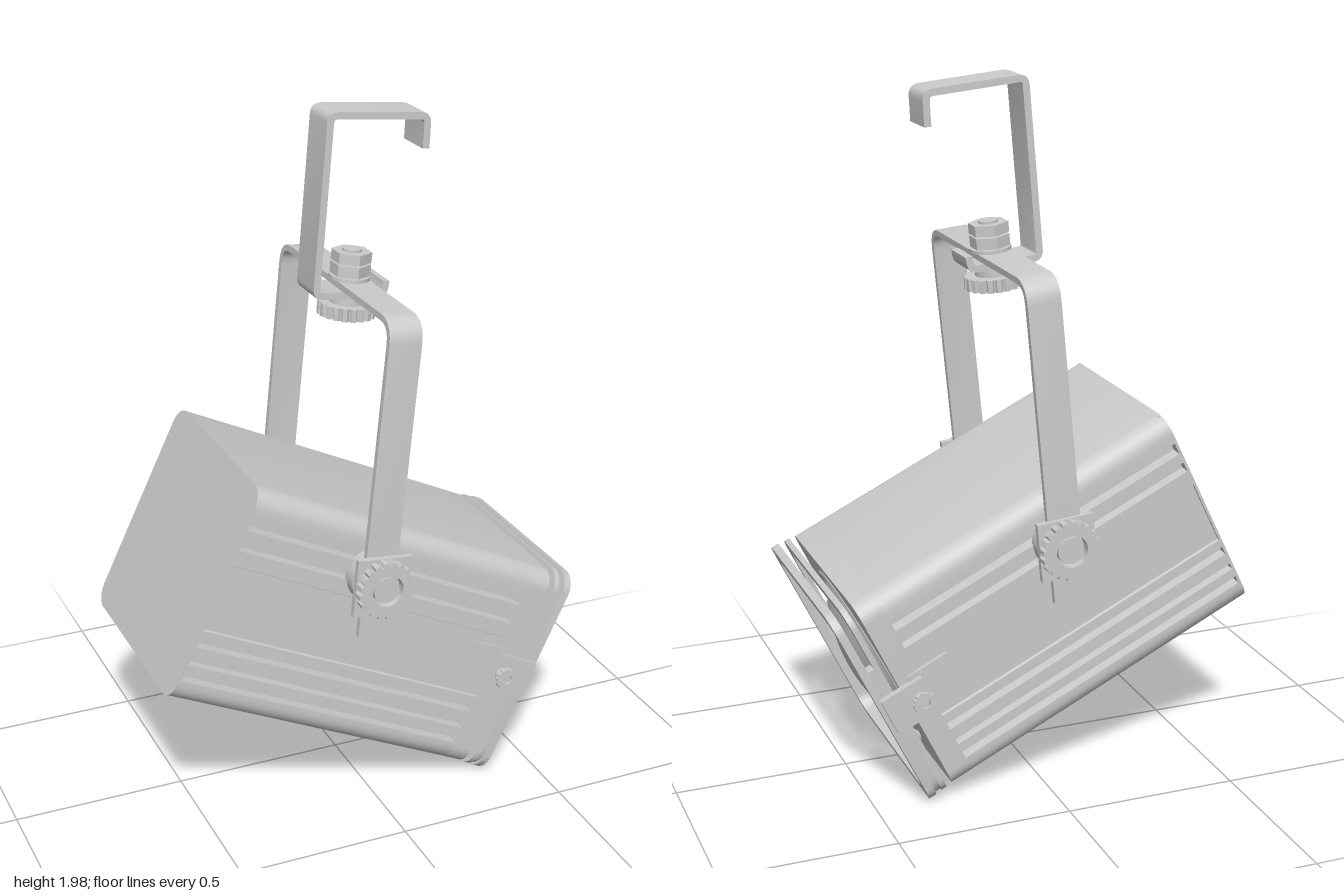
import * as THREE from 'three';
import { toCreasedNormals } from 'three/addons/utils/BufferGeometryUtils.js';

const grey = new THREE.MeshStandardMaterial({ color: 0xcccccc });

function add(parent, name, geo, x = 0, y = 0, z = 0) {
  const mesh = new THREE.Mesh(geo, grey);
  mesh.name = name;
  mesh.position.set(x, y, z);
  parent.add(mesh);
  return mesh;
}

const extrude = (shape, depth) => toCreasedNormals(
  new THREE.ExtrudeGeometry(shape, { depth, bevelEnabled: false, curveSegments: 24 }), 0.6);

// Extrusion that runs along +x, with the shape's x becoming -z
const extrudeX = (shape, depth) => extrude(shape, depth).rotateY(Math.PI / 2);

// Rounded rectangle from half sizes
function roundRect(w, h, r, Type = THREE.Shape) {
  const s = new Type();
  s.absarc(w - r, h - r, r, 0, Math.PI / 2);
  s.absarc(r - w, h - r, r, Math.PI / 2, Math.PI);
  s.absarc(r - w, r - h, r, Math.PI, Math.PI * 1.5);
  s.absarc(w - r, r - h, r, Math.PI * 1.5, Math.PI * 2);
  s.closePath();
  return s;
}

// Outline of a bent flat bar: polyline with rounded bends, offset to both sides
function bentBar(points, thick, bend) {
  const p = points.map(([x, y]) => new THREE.Vector2(x, y));
  const line = [], dirs = [];
  p.forEach((c, i) => {
    const a = p[i - 1], b = p[i + 1];
    const din = a && c.clone().sub(a).normalize();
    const dout = b && b.clone().sub(c).normalize();
    if (!a || !b) { line.push(c); dirs.push(din || dout); return; }
    const curve = new THREE.QuadraticBezierCurve(
      c.clone().addScaledVector(din, -bend), c, c.clone().addScaledVector(dout, bend));
    for (let k = 0; k <= 5; k++) {
      line.push(curve.getPoint(k / 5));
      dirs.push(curve.getTangent(k / 5));
    }
  });
  const side = (s) => line.map((q, i) =>
    new THREE.Vector2(q.x - dirs[i].y * s, q.y + dirs[i].x * s));
  return new THREE.Shape([...side(thick / 2), ...side(-thick / 2).reverse()]);
}

// Toothed grip wheel along +z with a round recess in the middle
function knob(radius, depth, hole, teeth = 18) {
  const pts = [];
  for (let i = 0; i < teeth; i++) {
    [[0.05, 0.9], [0.25, 1], [0.75, 1], [0.95, 0.9]].forEach(([f, k]) => {
      const a = ((i + f) / teeth) * Math.PI * 2;
      pts.push(new THREE.Vector2(Math.cos(a), Math.sin(a)).multiplyScalar(radius * k));
    });
  }
  const s = new THREE.Shape(pts);
  s.holes.push(new THREE.Path().absarc(0, 0, hole, 0, Math.PI * 2));
  return extrude(s, depth);
}

const cylZ = (r, depth, n = 32) => new THREE.CylinderGeometry(r, r, depth, n).rotateX(Math.PI / 2);

// Housing section with grooves and a shallow panel on both flanks
function groovedSection() {
  const W = 0.325, H = 0.322, r = 0.055;
  const cuts = [[-0.255, -0.232, 0.03], [-0.205, -0.185, 0.025], [-0.15, -0.125, 0.03],
    [-0.1, 0.1, 0.008], [0.145, 0.175, 0.03], [0.205, 0.24, 0.035]];
  const right = [];
  const corner = (cy, a0) => {
    for (let k = 0; k <= 6; k++) {
      const a = a0 + (k / 6) * Math.PI / 2;
      right.push([W - r + r * Math.cos(a), cy + r * Math.sin(a)]);
    }
  };
  corner(r - H, -Math.PI / 2);
  cuts.forEach(([a, b, d]) => right.push([W, a], [W - d, a + 0.003], [W - d, b - 0.003], [W, b]));
  corner(H - r, 0);
  const left = right.map(([x, y]) => [-x, y]).reverse();
  return new THREE.Shape([...right, ...left].map(([x, y]) => new THREE.Vector2(x, y)));
}

// Lamp housing: local x runs from the back plate to the lens
function buildHousing() {
  const g = new THREE.Group();
  g.name = 'housing';
  add(g, 'backPlate', extrudeX(roundRect(0.325, 0.322, 0.055), 0.008));
  add(g, 'groovedBody', extrudeX(groovedSection(), 0.932), 0.008);

  const collar = roundRect(0.325, 0.322, 0.055);
  collar.holes.push(new THREE.Path().absarc(0, 0, 0.285, 0, Math.PI * 2));
  add(g, 'frontCollar', extrudeX(collar, 0.066), 0.94);

  // Domed lens and its retaining ring
  const R = 0.481;
  add(g, 'lens', new THREE.SphereGeometry(R, 48, 16, 0, Math.PI * 2, 0, 0.622)
    .rotateZ(-Math.PI / 2), 1.075 - R);
  add(g, 'lensRing', new THREE.TorusGeometry(0.283, 0.008, 8, 48).rotateY(Math.PI / 2), 1.003);

  // Accessory holder: two rings, open slot at the top
  [[1.025, 0.016, 0.327], [1.06, 0.023, 0.33]].forEach(([x, depth, h]) => {
    const ring = roundRect(0.327, h, 0.06);
    ring.holes.push(roundRect(0.29, 0.29, 0.045, THREE.Path));
    add(g, 'holderRing', extrudeX(ring, depth), x);
  });
  const channel = bentBar([[-0.308, 0.14], [-0.308, -0.308], [0.308, -0.308], [0.308, 0.14]], 0.036, 0.06);
  add(g, 'holderChannel', extrudeX(channel, 0.02), 1.041);

  // Side latches with thumbscrews, and the pivot bosses
  for (const s of [1, -1]) {
    add(g, 'latchPlate', new THREE.BoxGeometry(0.13, 0.135, 0.012), 0.91, 0, s * 0.326);
    add(g, 'latchBracket', new THREE.BoxGeometry(0.13, 0.115, 0.02), 1.005, -0.005, s * 0.338);
    add(g, 'screwStem', cylZ(0.013, 0.04, 16), 0.97, -0.005, s * 0.358);
    add(g, 'screwCollar', cylZ(0.022, 0.012, 20), 0.97, -0.005, s * 0.353);
    add(g, 'screwHead', knob(0.033, 0.014, 0.014, 12), 0.97, -0.005, s * 0.376 - 0.007);
    add(g, 'pivotBoss', cylZ(0.075, 0.05), 0.425, 0.178, s * 0.34);
  }
  g.position.set(-0.49, 0.78, -0.006);
  g.rotation.z = -0.45;
  return g;
}

// Yoke, clamp hook and bolts: origin on the pivot axis
function buildYoke() {
  const g = new THREE.Group();
  g.name = 'yokeAssembly';
  const yoke = bentBar([[-0.373, -0.16], [-0.373, 0.75], [0.373, 0.75], [0.373, -0.16]], 0.018, 0.06);
  add(g, 'yoke', extrudeX(yoke, 0.096), -0.048, 0, -0.006);

  // Hook strip that hangs over a rail
  const hook = bentBar([[0.163, 1.137], [0.159, 1.227], [-0.127, 1.227], [-0.122, 0.727],
    [0.082, 0.727], [0.085, 0.765]], 0.02, 0.02);
  add(g, 'clampHook', extrude(hook, 0.118), 0, 0, -0.063);

  // Clamp bolt: hex nuts above, grip wheel below
  add(g, 'clampBolt', new THREE.CylinderGeometry(0.028, 0.028, 0.2, 24), 0, 0.745, -0.005);
  add(g, 'washer', new THREE.CylinderGeometry(0.058, 0.058, 0.01, 32), 0, 0.764, -0.005);
  [[0.787, 0.032], [0.823, 0.03]].forEach(([y, h]) =>
    add(g, 'hexNut', toCreasedNormals(new THREE.CylinderGeometry(0.057, 0.057, h, 6), 0.3), 0, y, -0.005));
  add(g, 'clampWheel', knob(0.083, 0.036, 0.03, 20).rotateX(-Math.PI / 2), 0, 0.655, -0.005);
  add(g, 'wheelHub', new THREE.CylinderGeometry(0.05, 0.05, 0.03, 32), 0, 0.703, -0.005);

  // Tilt locks on both pivots
  for (const s of [1, -1]) {
    add(g, 'lockPlate', new THREE.BoxGeometry(0.165, 0.17, 0.018), 0, 0, s * 0.391);
    add(g, 'lockKnob', knob(0.085, 0.03, 0.046, 20), 0, 0, s * 0.416 - 0.015);
    add(g, 'lockBolt', cylZ(0.038, 0.025, 24), 0, 0, s * 0.41);
  }
  g.position.set(-0.03, 0.755, 0);
  g.rotation.z = -0.099;
  return g;
}

export function createModel() {
  const model = new THREE.Group();
  model.name = 'stageSpotlight';
  model.add(buildHousing(), buildYoke());
  return model;
}
